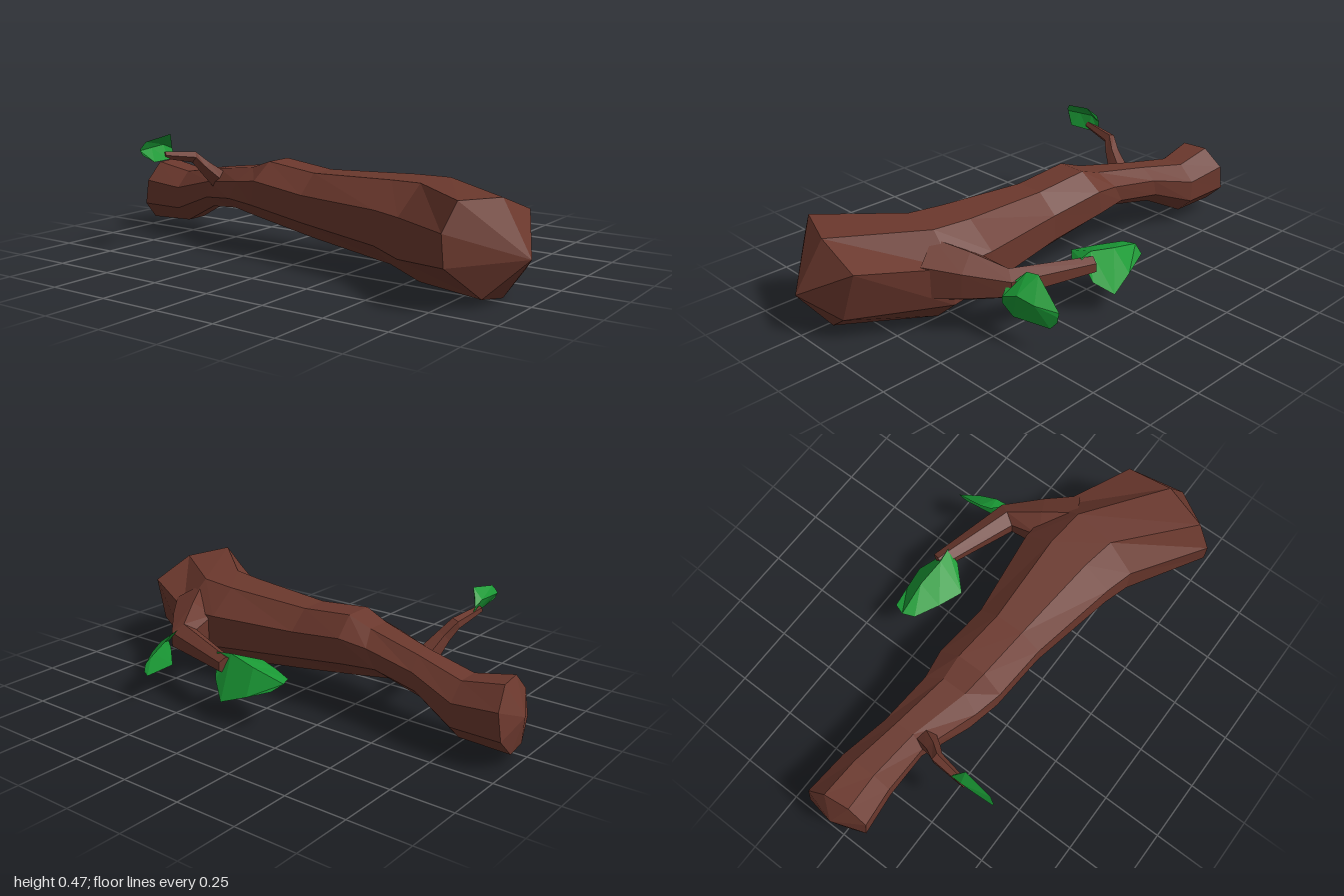
import * as THREE from 'three';

const V = (x, y, z) => new THREE.Vector3(x, y, z);

function mesh(name, points, index, color, side = THREE.FrontSide) {
  const g = new THREE.BufferGeometry().setFromPoints(points);
  g.setIndex(index);
  const flat = g.toNonIndexed();
  flat.computeVertexNormals();
  const m = new THREE.Mesh(flat, new THREE.MeshStandardMaterial({ color, flatShading: true, side }));
  m.name = name;
  return m;
}

// Closed skin over equal-sized rings, with a fan at each end
function loft(name, rings, startTip, endTip, color) {
  const n = rings[0].length, last = (rings.length - 1) * n;
  const points = rings.flat().concat([startTip, endTip]);
  const s = points.length - 2, e = s + 1, index = [];
  for (let j = 0; j < n; j++) {
    const k = (j + 1) % n;
    for (let i = 0; i < last; i += n) {
      index.push(i + j, i + n + j, i + k, i + k, i + n + j, i + n + k);
    }
    index.push(s, j, k, e, last + k, last + j);
  }
  return mesh(name, points, index, color);
}

// Eight-sided trunk ring from its extents; dzx and dzy slant it
function trunkRing([z, x0, x1, y0, y1, dzx = 0, dzy = 0]) {
  const ring = [];
  for (let j = 0; j < 8; j++) {
    const a = (j + 0.5) * Math.PI / 4, k = 1 / Math.cos(Math.PI / 8);
    const c = Math.cos(a) * k, s = Math.sin(a) * k;
    ring.push(V((x0 + x1) / 2 + c * (x1 - x0) / 2, (y0 + y1) / 2 + s * (y1 - y0) / 2, z + c * dzx + s * dzy));
  }
  return ring;
}

// Tapered branch along stations of [x, y, z, radius]
function branch(name, stations, sides, color) {
  const p = stations.map(s => V(s[0], s[1], s[2]));
  const rings = p.map((c, i) => {
    const t = p[Math.min(i + 1, p.length - 1)].clone().sub(p[Math.max(i - 1, 0)]).normalize();
    const u = t.clone().cross(V(0, 1, 0)).normalize(), v = u.clone().cross(t);
    return Array.from({ length: sides }, (_, j) => {
      const a = (j + 0.5) * 2 * Math.PI / sides, r = stations[i][3];
      return c.clone().addScaledVector(u, r * Math.cos(a)).addScaledVector(v, r * Math.sin(a));
    });
  });
  return loft(name, rings, p[0], p[p.length - 1], color);
}

// Folded leaf: rows of edge, midrib, edge from stem to tip
function leaf(name, rows, color) {
  const index = [];
  for (let i = 0; i < rows.length - 1; i++) {
    for (let j = 0; j < 2; j++) {
      const a = i * 3 + j;
      index.push(a, a + 3, a + 1, a + 1, a + 3, a + 4);
    }
  }
  return mesh(name, rows.flat().map(p => V(...p)), index, color, THREE.DoubleSide);
}

export function createModel() {
  const group = new THREE.Group();
  group.name = 'fallenBranch';
  const bark = 0x6b382d, green = 0x1a9a35;

  // Obliquely broken front end
  const frontRing = [
    V(-0.04, 0.29, 0.89), V(-0.24, 0.36, 0.88), V(-0.43, 0.37, 0.81), V(-0.5, 0.27, 0.79),
    V(-0.5, 0.155, 0.8), V(-0.36, 0.03, 0.87), V(-0.22, 0.005, 0.88), V(-0.1, 0.09, 0.91),
  ];
  // Trunk rings: z, x range, y range, slants
  const trunk = [
    [0.54, -0.31, 0.12, 0.0, 0.365, 0.03],
    [0.39, -0.28, 0.13, 0.04, 0.36],
    [0.01, -0.21, 0.08, 0.085, 0.345],
    [-0.24, -0.2, 0.095, 0.13, 0.37, 0, 0.02],
    [-0.37, -0.17, 0.08, 0.155, 0.335, 0, 0.05],
    [-0.58, -0.085, 0.105, 0.13, 0.3, 0, 0.02],
    [-0.77, -0.07, 0.16, 0.045, 0.265],
    [-0.955, -0.09, 0.17, 0.04, 0.295, -0.015, 0.02],
  ].map(trunkRing);
  group.add(loft('trunk', [frontRing, ...trunk], V(-0.26, 0.165, 1), V(0.04, 0.17, -1), bark));

  // Side branches
  group.add(branch('leftBranch', [
    [0.0, 0.21, 0.57, 0.13], [0.13, 0.205, 0.5, 0.1],
    [0.26, 0.2, 0.43, 0.06], [0.37, 0.195, 0.1, 0.035],
  ], 6, bark));
  group.add(branch('rightTwig', [
    [-0.06, 0.25, -0.53, 0.045], [-0.13, 0.32, -0.56, 0.03],
    [-0.17, 0.365, -0.585, 0.025], [-0.32, 0.388, -0.605, 0.015],
  ], 5, bark));

  // Leaves
  group.add(leaf('branchTipLeaf', [
    [[0.3, 0.2, 0.14], [0.36, 0.235, 0.155], [0.4, 0.14, 0.13]],
    [[0.21, 0.18, 0.05], [0.35, 0.24, 0.09], [0.45, 0.08, 0.06]],
    [[0.25, 0.18, -0.05], [0.36, 0.215, -0.03], [0.425, 0.12, -0.05]],
    [[0.3, 0.18, -0.15], [0.35, 0.18, -0.17], [0.4, 0.16, -0.15]],
  ], green));
  group.add(leaf('branchBendLeaf', [
    [[0.29, 0.21, 0.47], [0.29, 0.18, 0.49], [0.285, 0.15, 0.485]],
    [[0.325, 0.26, 0.4], [0.35, 0.2, 0.475], [0.31, 0.09, 0.455]],
    [[0.37, 0.26, 0.385], [0.42, 0.18, 0.455], [0.475, 0.1, 0.43]],
    [[0.5, 0.165, 0.41], [0.5, 0.15, 0.415], [0.5, 0.13, 0.42]],
  ], green));
  group.add(leaf('twigLeaf', [
    [[-0.27, 0.44, -0.61], [-0.262, 0.41, -0.615], [-0.26, 0.375, -0.605]],
    [[-0.305, 0.475, -0.58], [-0.31, 0.43, -0.618], [-0.31, 0.37, -0.59]],
    [[-0.43, 0.455, -0.595], [-0.38, 0.425, -0.615], [-0.4, 0.37, -0.58]],
    [[-0.45, 0.43, -0.605], [-0.45, 0.42, -0.61], [-0.44, 0.4, -0.605]],
  ], green));
  return group;
}
